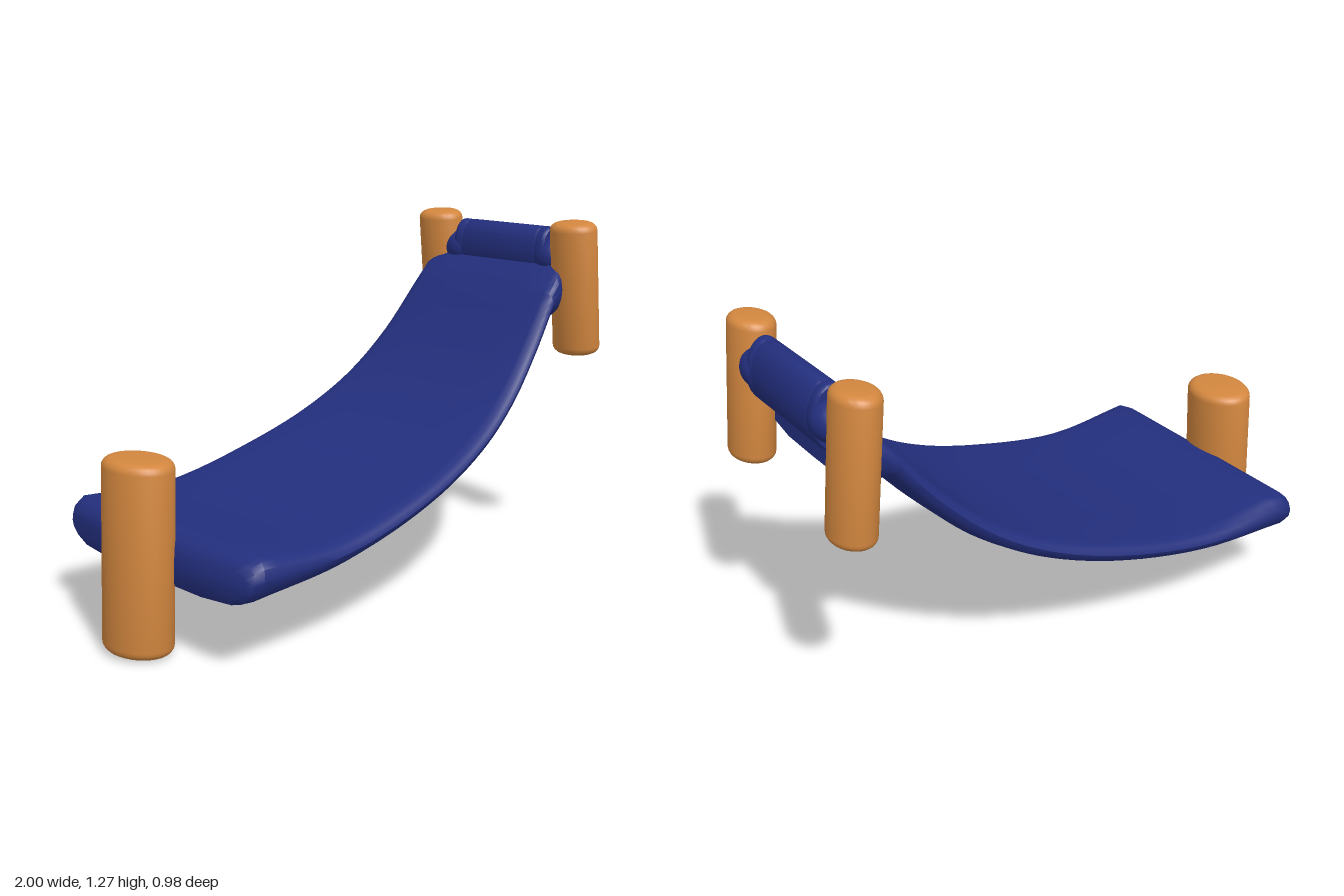
import * as THREE from 'three';
import { toCreasedNormals } from 'three/addons/utils/BufferGeometryUtils.js';

const wood = new THREE.MeshStandardMaterial({ color: 0xd3873f });
wood.name = 'orange wood';
const fabric = new THREE.MeshStandardMaterial({ color: 0x232f7e });
fabric.name = 'navy fabric';

// Half outline of the sling section: [fraction of half width, height from underside to top]
const half = [[0.5, 0.01], [0.8, 0.1], [0.92, 0.25], [0.98, 0.45], [1, 0.65], [0.985, 0.85], [0.95, 0.96], [0.88, 1], [0.5, 1]];
const outline = [[0, 0], ...half, [0, 1], ...half.map(([z, v]) => [-z, v]).reverse()];

// Loft the outline through stations of { low, high } points, with the half width in z
function loft(stations) {
  const pos = [], index = [], n = outline.length;
  for (const { low, high } of stations) {
    for (const [f, v] of outline) {
      const p = low.clone().lerp(high, v);
      pos.push(p.x, p.y, f * low.z);
    }
  }
  for (let i = 0; i < stations.length - 1; i++) {
    for (let j = 0; j < n; j++) {
      const a = i * n + j, c = i * n + (j + 1) % n;
      index.push(a, a + n, c, c, a + n, c + n);
    }
  }
  // End caps
  const last = (stations.length - 1) * n;
  stations.forEach(({ low, high }, i) => {
    if (i > 0 && i < stations.length - 1) return;
    const mid = low.clone().lerp(high, 0.5), centre = pos.length / 3;
    pos.push(mid.x, mid.y, 0);
    for (let j = 0; j < n; j++) {
      const k = (j + 1) % n;
      if (i === 0) index.push(centre, j, k);
      else index.push(centre, last + k, last + j);
    }
  });
  const geo = new THREE.BufferGeometry();
  geo.setAttribute('position', new THREE.Float32BufferAttribute(pos, 3));
  geo.setIndex(index);
  return toCreasedNormals(geo, 0.7);
}

// Upright post with rounded rims and an oval section
function post(name, rx, rz, length, bevel) {
  const h = length / 2, pts = [new THREE.Vector2(0, -h)];
  for (const s of [-1, 1]) {
    for (let i = 0; i <= 5; i++) {
      const a = (s < 0 ? i : 5 - i) / 5 * Math.PI / 2;
      pts.push(new THREE.Vector2(1 - bevel / rx * (1 - Math.sin(a)), s * (h - bevel * (1 - Math.cos(a)))));
    }
  }
  pts.push(new THREE.Vector2(0, h));
  const geo = new THREE.LatheGeometry(pts, 40);
  geo.scale(rx, 1, rz);
  const mesh = new THREE.Mesh(toCreasedNormals(geo, 0.7), wood);
  mesh.name = name;
  return mesh;
}

export function createModel() {
  const model = new THREE.Group();
  model.name = 'slingBed';
  const V = (x, y, w) => new THREE.Vector3(x, y, w);

  // Curved sling
  const low = new THREE.CatmullRomCurve3([
    V(-0.8, 0.222, 0.49), V(-0.4, 0.268, 0.485), V(0, 0.367, 0.465), V(0.3, 0.49, 0.433),
    V(0.5, 0.62, 0.4), V(0.66, 0.775, 0.368), V(0.77, 0.905, 0.342)]);
  const high = new THREE.CatmullRomCurve3([
    V(-0.77, 0.395, 0.49), V(-0.43, 0.372, 0.485), V(-0.03, 0.455, 0.465), V(0.24, 0.555, 0.433),
    V(0.43, 0.668, 0.4), V(0.59, 0.815, 0.368), V(0.75, 1.01, 0.342)]);
  const stations = [
    { low: V(-0.833, 0.245, 0.455), high: V(-0.825, 0.355, 0.455) },
    { low: V(-0.825, 0.228, 0.478), high: V(-0.803, 0.38, 0.478) }];
  for (let i = 0; i <= 36; i++) stations.push({ low: low.getPoint(i / 36), high: high.getPoint(i / 36) });
  const sling = new THREE.Mesh(loft(stations), fabric);
  sling.name = 'sling';
  model.add(sling);

  // Thick lip at the raised end
  const lip = new THREE.Mesh(loft([
    { low: V(0.77, 0.905, 0.342), high: V(0.75, 1.01, 0.342) },
    { low: V(0.79, 0.89, 0.337), high: V(0.8, 1.068, 0.337) },
    { low: V(0.865, 0.89, 0.32), high: V(0.845, 1.1, 0.32) }]), fabric);
  lip.name = 'slingLip';
  model.add(lip);

  // Single wide post at the low end
  const lowPost = post('lowPost', 0.105, 0.133, 0.633, 0.03);
  lowPost.position.set(-0.884, 0.32, 0);
  lowPost.rotation.z = -0.04;
  model.add(lowPost);

  // Pair of posts at the raised end
  for (const s of [-1, 1]) {
    const p = post(s > 0 ? 'highPostLeft' : 'highPostRight', 0.075, 0.093, 0.495, 0.03);
    p.position.set(0.9, 1.015, s * 0.328);
    p.rotation.z = 0.1;
    model.add(p);
  }

  // Roller cushion with end grooves, and the knobs holding it between the posts
  const roller = new THREE.Group();
  roller.name = 'roller';
  const side = [[0, 0.22], [0.93, 0.22], [0.985, 0.214], [1, 0.205], [1, 0.186], [0.96, 0.178], [1, 0.17]];
  const profile = [...side.map(([r, z]) => [r, -z]), ...side.slice().reverse()];
  const cushionGeo = new THREE.LatheGeometry(profile.map(([r, z]) => new THREE.Vector2(r, z)), 40);
  cushionGeo.rotateX(Math.PI / 2);
  cushionGeo.scale(0.064, 0.107, 1);
  const cushion = new THREE.Mesh(toCreasedNormals(cushionGeo, 0.6), fabric);
  cushion.name = 'rollerCushion';
  roller.add(cushion);
  for (const s of [-1, 1]) {
    const knob = new THREE.Mesh(new THREE.SphereGeometry(1, 28, 20), fabric);
    knob.name = 'rollerKnob';
    knob.scale.set(0.072, 0.07, 0.08);
    knob.position.set(0, -0.005, s * 0.222);
    roller.add(knob);
  }
  roller.position.set(0.901, 1.128, 0);
  roller.rotation.z = 0.1;
  model.add(roller);

  return model;
}
